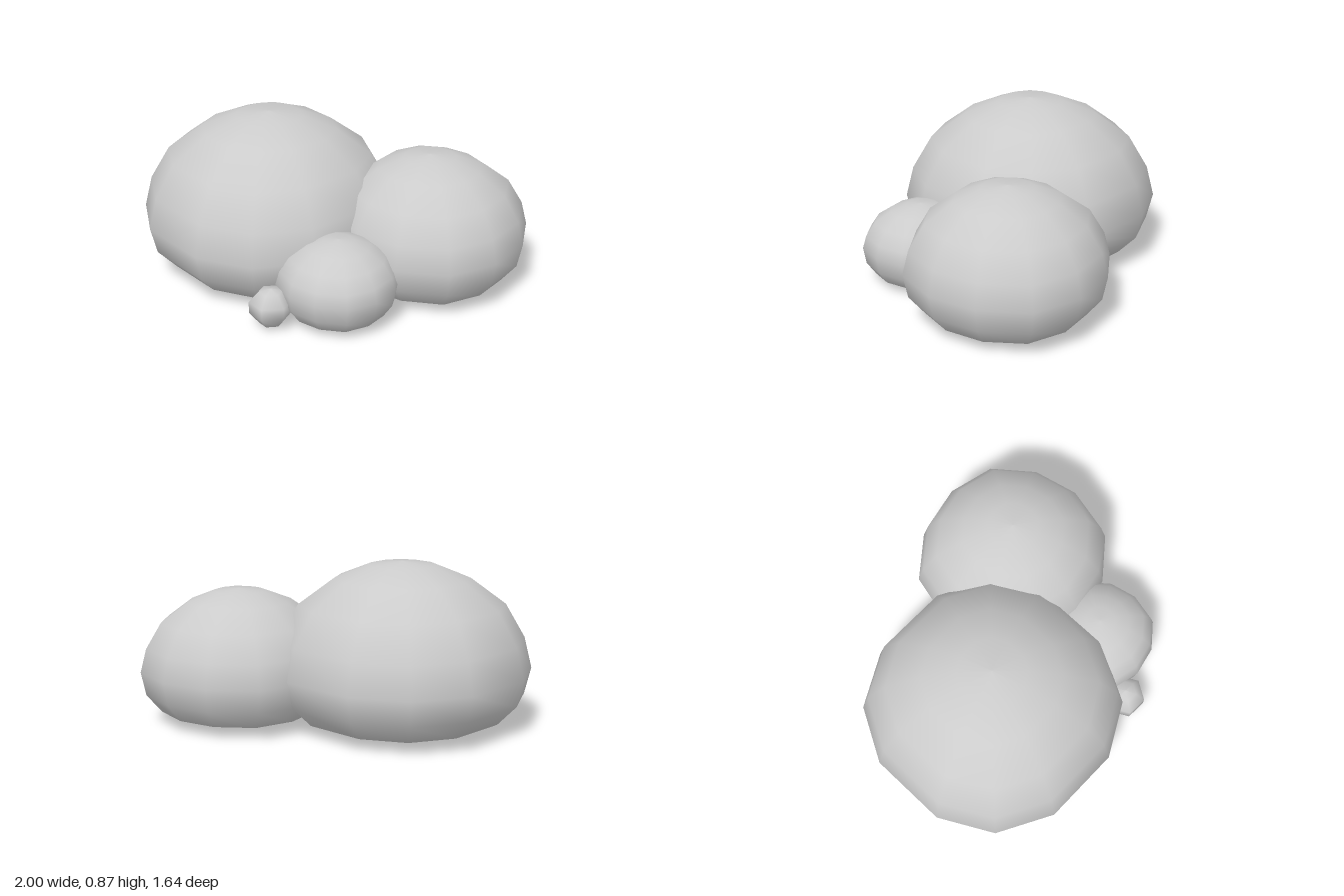
import * as THREE from 'three';

// Profiles from bottom pole to top pole: [radius fraction, height fraction from the widest ring]
const domeProfile = [
  [0, -1], [0.27, -0.99], [0.52, -0.96], [0.8, -0.81], [0.95, -0.46], [1, 0],
  [0.94, 0.29], [0.79, 0.6], [0.52, 0.84], [0.26, 0.965], [0, 1],
];
const pebbleProfile = [[0, -1], [0.55, -0.84], [1, -0.25], [1, 0.35], [0.55, 0.87], [0, 1]];

// Squashed, flat-bottomed boulder. ring(i) gives [angle offset in degrees, radius factor] of column i.
function boulder({ name, x, z, radius, base, waist, top, sides = 12, profile = domeProfile, ring }) {
  const points = profile.map(([r, h]) =>
    new THREE.Vector2(r * radius, waist + h * (h < 0 ? waist - base : top - waist)));
  const geometry = new THREE.LatheGeometry(points, sides);
  const pos = geometry.attributes.position;
  const normal = geometry.attributes.normal;
  const up = new THREE.Vector3(0, 1, 0);
  const v = new THREE.Vector3();
  for (let k = 0; k < pos.count; k++) {
    const [turn, scale] = ring(Math.floor(k / points.length) % sides);
    const angle = -THREE.MathUtils.degToRad(turn);
    v.fromBufferAttribute(pos, k).applyAxisAngle(up, angle);
    pos.setXYZ(k, v.x * scale, v.y, v.z * scale);
    v.fromBufferAttribute(normal, k).applyAxisAngle(up, angle);
    normal.setXYZ(k, v.x, v.y, v.z);
  }
  const mesh = new THREE.Mesh(geometry, new THREE.MeshStandardMaterial({ color: 0xcccccc }));
  mesh.name = name;
  mesh.position.set(x, 0, z);
  return mesh;
}

// Column rules: evenly spaced with the axis columns slightly proud, or turned and uneven
const even = (i) => [0, i % 3 === 0 ? 1 : 0.965];
const uneven = (i) => [13 + [0, 3, -3.5][i % 3], i % 3 === 0 ? 1 : 0.975];
const hexagon = () => [30, 1];

export function createModel() {
  const group = new THREE.Group();
  group.name = 'boulders';
  group.add(
    boulder({ name: 'largeBoulder', x: -0.33, z: -0.15, radius: 0.685, base: 0, waist: 0.3, top: 0.87, ring: uneven }),
    boulder({ name: 'mediumBoulder', x: 0.47, z: 0.16, radius: 0.53, base: 0.01, waist: 0.28, top: 0.71, ring: even }),
    boulder({ name: 'smallBoulder', x: -0.055, z: 0.505, radius: 0.315, base: 0.01, waist: 0.2, top: 0.43, ring: even }),
    boulder({
      name: 'pebble', x: -0.4, z: 0.565, radius: 0.11, base: 0.005, waist: 0.105, top: 0.21,
      sides: 6, profile: pebbleProfile, ring: hexagon,
    }),
  );
  return group;
}
